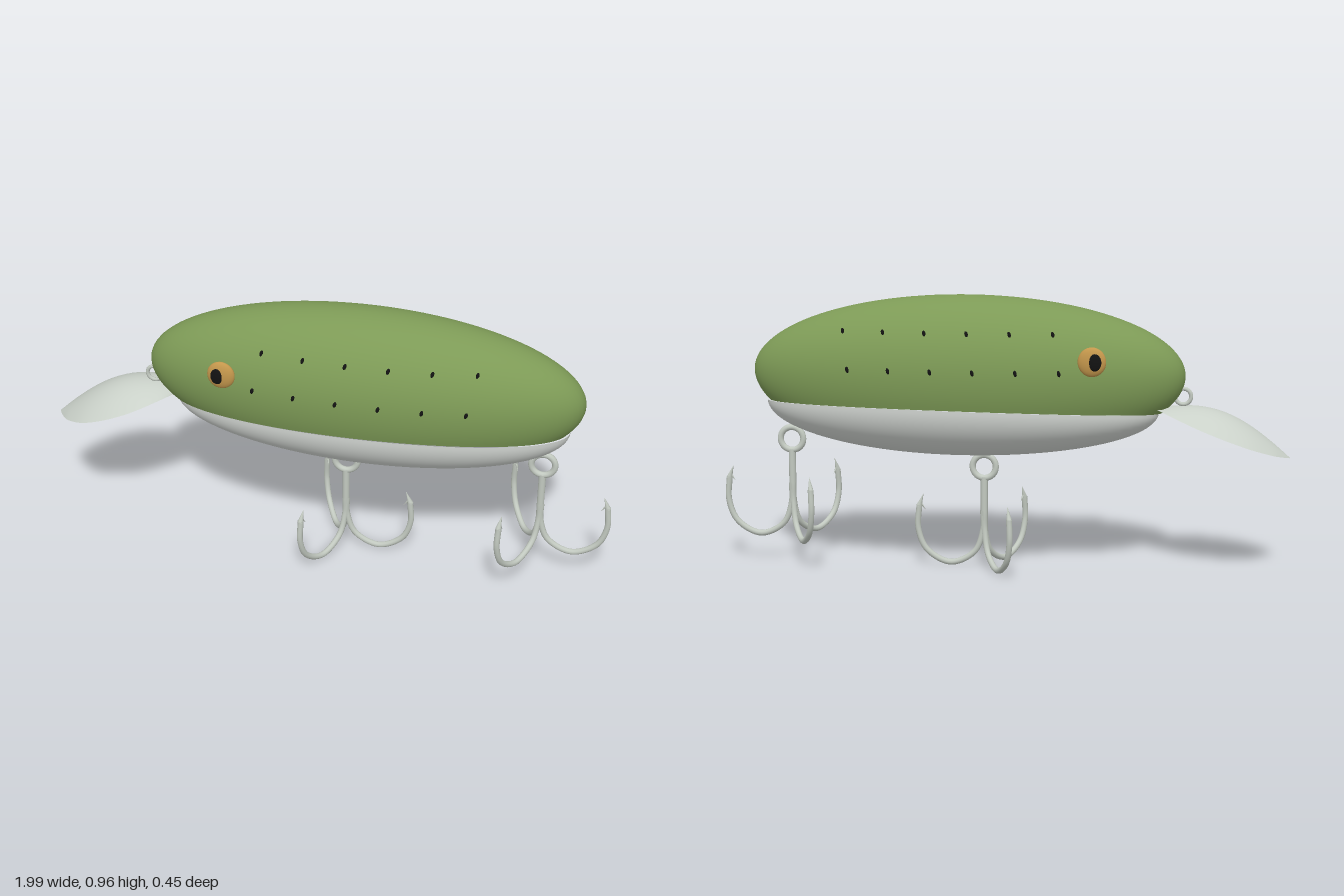
import * as THREE from 'three';

const mat = (name, color, side = THREE.FrontSide) => {
  const m = new THREE.MeshStandardMaterial({ color, side });
  m.name = name;
  return m;
};

// Smooth grid surface from fn(u, v); u may wrap round
function surface(fn, nu, nv, wrap) {
  const cols = wrap ? nu : nu + 1, pos = [], idx = [];
  for (let j = 0; j <= nv; j++)
    for (let i = 0; i < cols; i++) pos.push(...fn(i / nu, j / nv));
  for (let j = 0; j < nv; j++)
    for (let i = 0; i < nu; i++) {
      const k = (i + 1) % cols;
      const a = j * cols + i, b = j * cols + k, c = a + cols, d = b + cols;
      idx.push(a, b, c, b, d, c);
    }
  const g = new THREE.BufferGeometry();
  g.setAttribute('position', new THREE.Float32BufferAttribute(pos, 3));
  g.setIndex(idx);
  g.computeVertexNormals();
  return g;
}

// Body ellipsoid
const CX = 0.1175, CY = 0.69, RX = 0.7575, RZ = 0.22, UP = 0.27, DOWN = 0.29;
const seamY = az => 0.585 - 0.022 * ((CX + 0.7 * Math.cos(az) - 0.5) / 1.05) ** 2;
const shellZ = (x, y) =>
  RZ * Math.sqrt(1 - ((x - CX) / RX) ** 2 - ((y - CY) / (y > CY ? UP : DOWN)) ** 2);

function backPoint(u, v) {
  const az = u * Math.PI * 2;
  const th = v * Math.acos((seamY(az) - CY) / DOWN);
  const c = Math.cos(th), r = Math.sin(th);
  return [CX + RX * r * Math.cos(az), CY + (c > 0 ? UP : DOWN) * c, RZ * r * Math.sin(az)];
}

function bellyPoint(u, v) {
  const az = u * Math.PI * 2, th = v * Math.PI / 2, s = seamY(az);
  const r = Math.cos(th);
  return [0.14 + 0.69 * r * Math.cos(az), s - (s - 0.4) * Math.sin(th), 0.207 * r * Math.sin(az)];
}

// Underside of the back where it overhangs the belly
function seamPoint(u, v) {
  const [x, y, z] = backPoint(u, 1), k = 1 - 0.15 * v;
  return [CX + (x - CX) * k, y, z * k];
}

// Spoon-shaped diving bill
const billWidth = new THREE.SplineCurve(
  [[0, 0.004], [0.06, 0.05], [0.14, 0.095], [0.3, 0.142], [0.5, 0.157], [0.7, 0.142], [0.88, 0.1], [1, 0.065]]
    .map(p => new THREE.Vector2(...p)));
function billPoint(u, v) {
  const p = billWidth.getPoint(v), w = u * 2 - 1;
  return [-1 + 0.45 * p.x, 0.415 + 0.165 * p.x + 0.07 * Math.sin(Math.PI * p.x) * (1 - w * w), p.y * w];
}

export function createModel() {
  const root = new THREE.Group();
  root.name = 'fishingLure';
  const green = mat('backGreen', 0x7d9a56);
  const white = mat('bellyWhite', 0xd2d6d2);
  const metal = mat('metal', 0xc2c9c0);
  const bill = mat('billMetal', 0xcad1c9, THREE.DoubleSide);
  const gold = mat('eyeGold', 0xc4974c);
  const black = mat('black', 0x121212);

  const add = (parent, name, geo, m, x = 0, y = 0, z = 0) => {
    const mesh = new THREE.Mesh(geo, m);
    mesh.name = name;
    mesh.position.set(x, y, z);
    parent.add(mesh);
    return mesh;
  };

  // Two-tone body
  add(root, 'back', surface(backPoint, 80, 36, true), green);
  add(root, 'backUnderside', surface(seamPoint, 80, 1, true), green);
  add(root, 'belly', surface(bellyPoint, 80, 24, true), white);

  // Bill and line tie
  add(root, 'divingBill', surface(billPoint, 20, 28, false), bill);
  add(root, 'lineTie', new THREE.TorusGeometry(0.027, 0.007, 10, 28), metal, -0.633, 0.62, 0);

  // Eyes and flecks on both sides
  const ball = new THREE.SphereGeometry(1, 28, 18);
  const fleck = new THREE.SphereGeometry(1, 8, 6);
  for (const side of [1, -1]) {
    add(root, 'eye', ball, gold, -0.335, 0.755, side * 0.182).scale.set(0.048, 0.05, 0.018);
    add(root, 'pupil', ball, black, -0.346, 0.755, side * 0.196).scale.set(0.022, 0.029, 0.007);
    for (const [y, x0] of [[0.842, -0.2], [0.715, -0.225]])
      for (let i = 0; i < 6; i++) {
        const x = x0 + i * 0.145;
        const f = add(root, 'fleck', fleck, black, x, y, side * shellZ(x, y));
        f.scale.set(0.006, 0.011, 0.005);
        f.rotation.set(side * -Math.atan((y - CY) * 2.5), 0, -0.25);
      }
  }

  // Treble hook: ring, shank and three barbed prongs
  const prongPath = new THREE.CatmullRomCurve3(
    [[0.004, 0.2], [0.005, 0.13], [0.035, 0.052], [0.12, 0.0115], [0.205, 0.055], [0.236, 0.13], [0.232, 0.215]]
      .map(([x, y]) => new THREE.Vector3(x, y, 0)));
  const prongGeo = new THREE.TubeGeometry(prongPath, 48, 0.0105, 10);
  const pointGeo = new THREE.ConeGeometry(0.0105, 0.05, 10);
  const barbGeo = new THREE.ConeGeometry(0.005, 0.03, 8);
  const ringGeo = new THREE.TorusGeometry(0.041, 0.011, 12, 36);
  const shankGeo = new THREE.CylinderGeometry(0.0125, 0.0125, 0.2, 14);

  const addHook = (name, x, y) => {
    const hook = new THREE.Group();
    hook.name = name;
    hook.position.set(x, y, 0);
    add(hook, 'ring', ringGeo, metal, 0, 0.358, 0);
    add(hook, 'shank', shankGeo, metal, 0, 0.22, 0);
    for (let i = 0; i < 3; i++) {
      const prong = new THREE.Group();
      prong.name = 'prong';
      prong.rotation.y = i * Math.PI * 2 / 3;
      add(prong, 'bend', prongGeo, metal);
      add(prong, 'point', pointGeo, metal, 0.225, 0.233, 0).rotation.z = 0.35;
      add(prong, 'barb', barbGeo, metal, 0.218, 0.21, 0).rotation.z = 2.5;
      hook.add(prong);
    }
    root.add(hook);
  };
  addHook('bellyHook', 0.057, 0);
  addHook('tailHook', 0.747, 0.083);
  return root;
}
